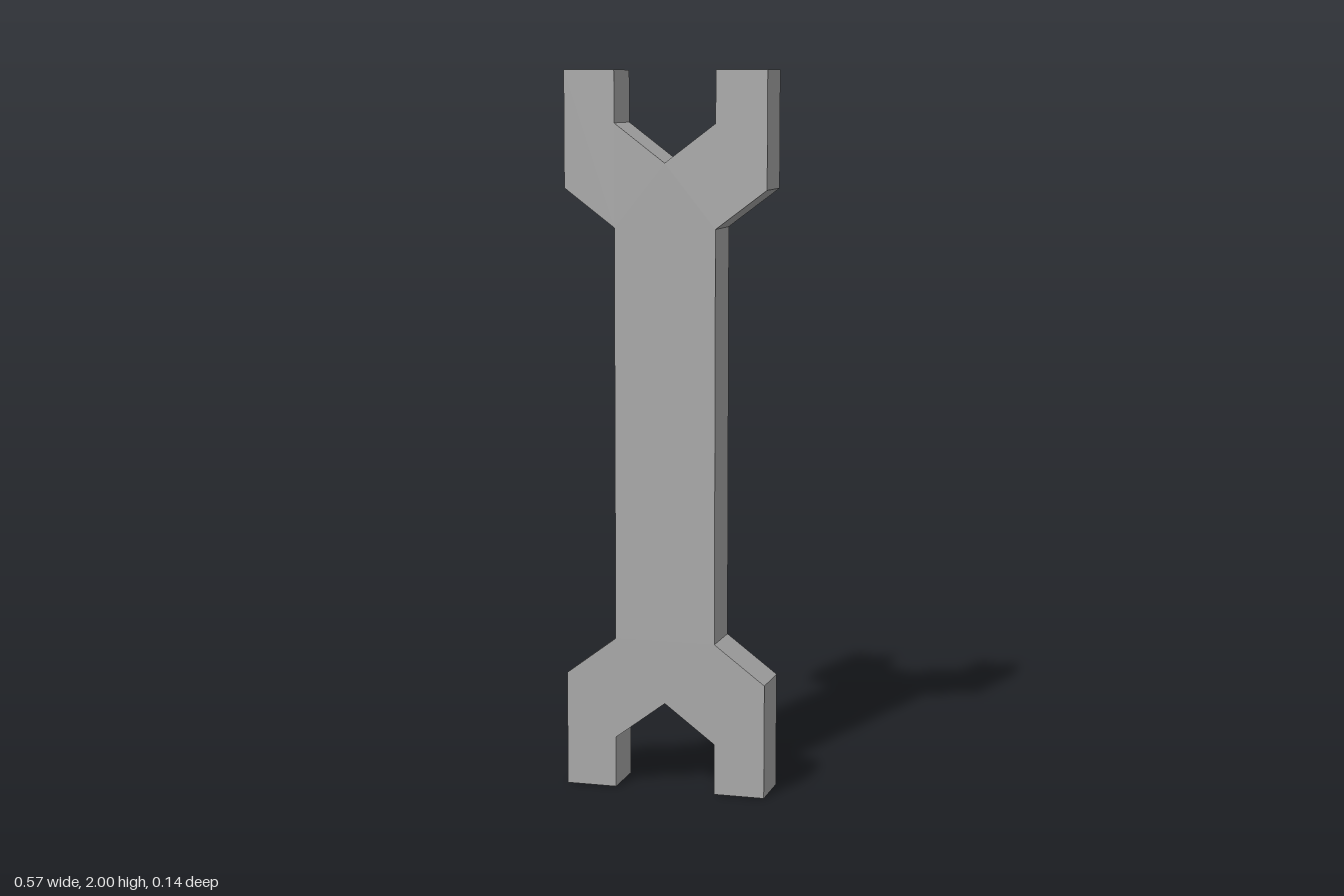
import * as THREE from 'three';

export function createModel() {
  const model = new THREE.Group();
  model.name = 'wrench';

  const steel = new THREE.MeshStandardMaterial({ color: 0xa8a8a8 });
  steel.name = 'steel grey';

  const unit = 1 / 7; // prong width, shaft half width and thickness

  // Upper right quarter of the outline, from the shaft shoulder to the jaw notch
  // (x, height above the middle)
  const quarter = [
    [unit, 0.573],
    [2 * unit, 0.68],
    [2 * unit, 1],
    [unit, 1],
    [unit, 0.857],
    [0, 0.75],
  ];

  // Mirror the quarter across both axes, keeping the outline counter-clockwise
  const mirrored = (sx, sy) => quarter.map(([x, y]) => new THREE.Vector2(sx * x, sy * y));
  const outline = [
    ...mirrored(1, 1),
    ...mirrored(-1, 1).reverse().slice(1),
    ...mirrored(-1, -1),
    ...mirrored(1, -1).reverse().slice(1),
  ];

  // Shaft with an open jaw at each end
  const geometry = new THREE.ExtrudeGeometry(new THREE.Shape(outline), {
    depth: unit,
    bevelEnabled: false,
  });
  geometry.translate(0, 1, -unit / 2);

  const body = new THREE.Mesh(geometry, steel);
  body.name = 'doubleEndedBody';
  model.add(body);
  return model;
}
